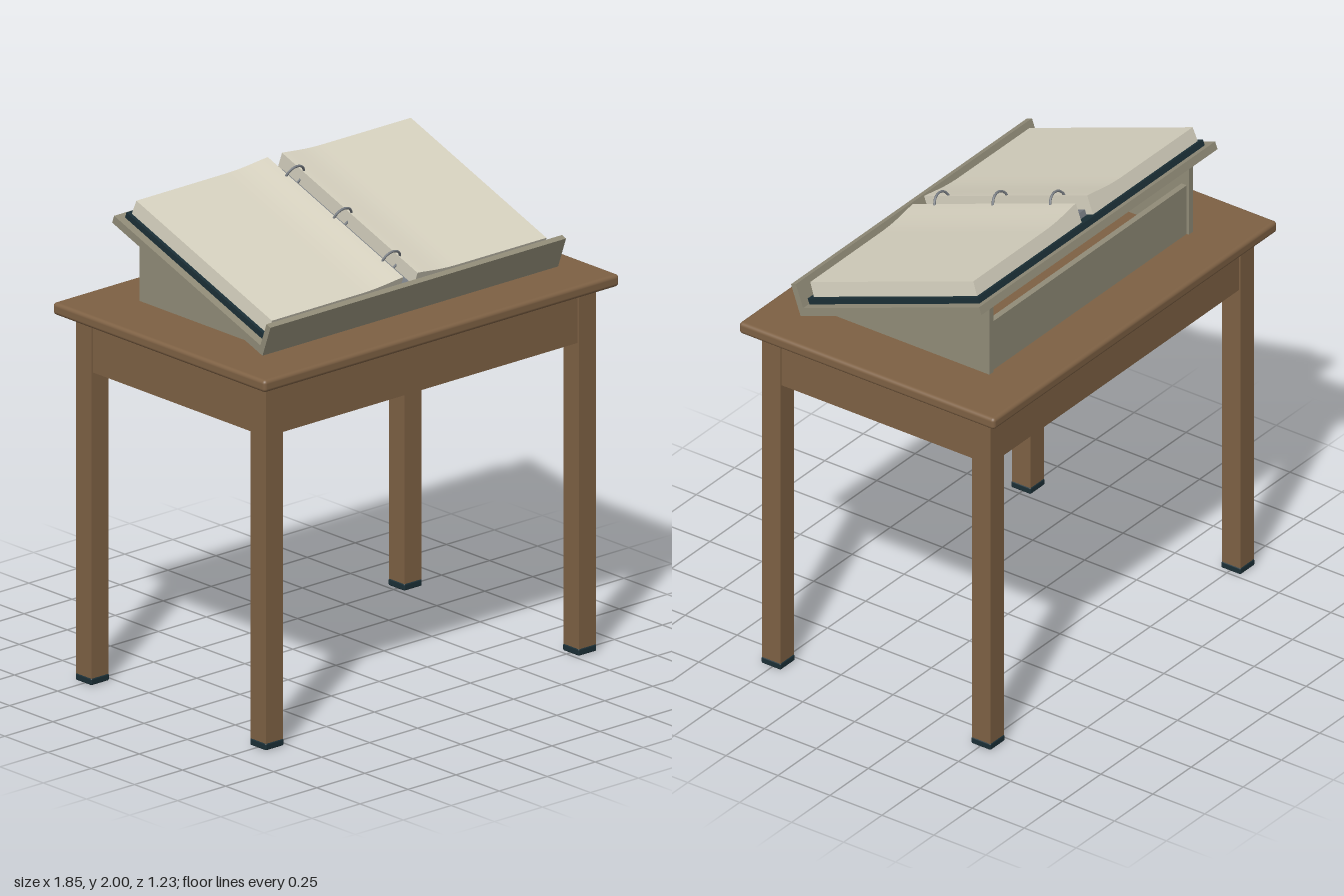
import * as THREE from 'three';
import { RoundedBoxGeometry } from 'three/addons/geometries/RoundedBoxGeometry.js';

const material = (name, color) => {
  const m = new THREE.MeshStandardMaterial({ color });
  m.name = name;
  return m;
};

export function createModel() {
  const wood = material('wood', 0x7e6144);
  const stone = material('greyGreenPaint', 0x918c78);
  const paper = material('paper', 0xd6d1bf);
  const dark = material('darkCover', 0x1b2f36);
  const metal = material('metal', 0x777c82);

  const model = new THREE.Group();
  const add = (parent, name, geometry, mat) => {
    const mesh = new THREE.Mesh(geometry, mat);
    mesh.name = name;
    parent.add(mesh);
    return mesh;
  };
  // Box given by its low and high limits on each axis; optional rounded edges
  const box = (parent, name, mat, [x0, x1], [y0, y1], [z0, z1], radius = 0) => {
    const size = [x1 - x0, y1 - y0, z1 - z0];
    const geometry = radius
      ? new RoundedBoxGeometry(...size, 3, radius)
      : new THREE.BoxGeometry(...size);
    const mesh = add(parent, name, geometry, mat);
    mesh.position.set((x0 + x1) / 2, (y0 + y1) / 2, (z0 + z1) / 2);
    return mesh;
  };

  // Table
  const table = new THREE.Group();
  table.name = 'table';
  model.add(table);
  box(table, 'tableTop', wood, [-0.925, 0.925], [1.5, 1.55], [-0.615, 0.615], 0.015);
  for (const sx of [-1, 1]) {
    for (const sz of [-1, 1]) {
      const x = sx * 0.815, z = sz * 0.505;
      box(table, 'leg', wood, [x - 0.044, x + 0.044], [0.02, 1.502], [z - 0.044, z + 0.044]);
      box(table, 'foot', dark, [x - 0.047, x + 0.047], [0, 0.028], [z - 0.047, z + 0.047], 0.006);
    }
    const z = sx * 0.522, x = sx * 0.832;
    box(table, 'longApron', wood, [-0.772, 0.772], [1.285, 1.502], [z - 0.02, z + 0.02]);
    box(table, 'shortApron', wood, [x - 0.02, x + 0.02], [1.285, 1.502], [-0.462, 0.462]);
  }

  // Wedge supports and low back panel of the reading stand
  const stand = new THREE.Group();
  stand.name = 'readingStand';
  model.add(stand);
  const wedge = new THREE.Shape([[0.39, 1.55], [0.39, 1.586], [-0.4, 1.874], [-0.4, 1.55]]
    .map(([z, y]) => new THREE.Vector2(z, y)));
  for (const x of [-0.65, 0.65]) {
    const side = add(stand, 'wedgeSupport',
      new THREE.ExtrudeGeometry(wedge, { depth: 0.026, bevelEnabled: false }), stone);
    side.rotation.y = -Math.PI / 2;
    side.position.x = x + 0.013;
  }
  box(stand, 'backPanel', stone, [-0.637, 0.637], [1.55, 1.77], [-0.39, -0.365]);

  // Tilted parts: y leaves the board, -z climbs the slope
  const slope = new THREE.Group();
  slope.name = 'slopingDesk';
  slope.position.set(0, 1.57, 0.43);
  slope.rotation.x = THREE.MathUtils.degToRad(20);
  model.add(slope);
  box(slope, 'board', stone, [-0.77, 0.77], [0, 0.033], [-0.926, 0]);
  box(slope, 'lip', stone, [-0.77, 0.77], [0.033, 0.135], [-0.025, 0]);

  // Ring binder
  const binder = new THREE.Group();
  binder.name = 'ringBinder';
  slope.add(binder);
  box(binder, 'cover', dark, [-0.735, 0.735], [0.033, 0.058], [-0.9, -0.03]);
  box(binder, 'spineStrip', metal, [-0.033, 0.033], [0.058, 0.082], [-0.855, -0.065]);

  // Page stacks rise gently towards the spine
  for (const s of [-1, 1]) {
    const profile = new THREE.Shape();
    profile.moveTo(s * 0.037, 0.058);
    profile.lineTo(s * 0.72, 0.058);
    profile.lineTo(s * 0.715, 0.119);
    profile.lineTo(s * 0.25, 0.12);
    profile.bezierCurveTo(s * 0.15, 0.121, s * 0.1, 0.134, s * 0.037, 0.14);
    profile.closePath();
    const pages = add(binder, s > 0 ? 'leftPages' : 'rightPages',
      new THREE.ExtrudeGeometry(profile, { depth: 0.835, bevelEnabled: false, curveSegments: 14 }), paper);
    pages.position.z = -0.885;
  }

  // Binder rings
  for (const u of [0.168, 0.467, 0.76]) {
    const ring = add(binder, 'ring', new THREE.TorusGeometry(0.048, 0.005, 8, 32), metal);
    ring.position.set(0, 0.124, -u);
  }

  return model;
}
